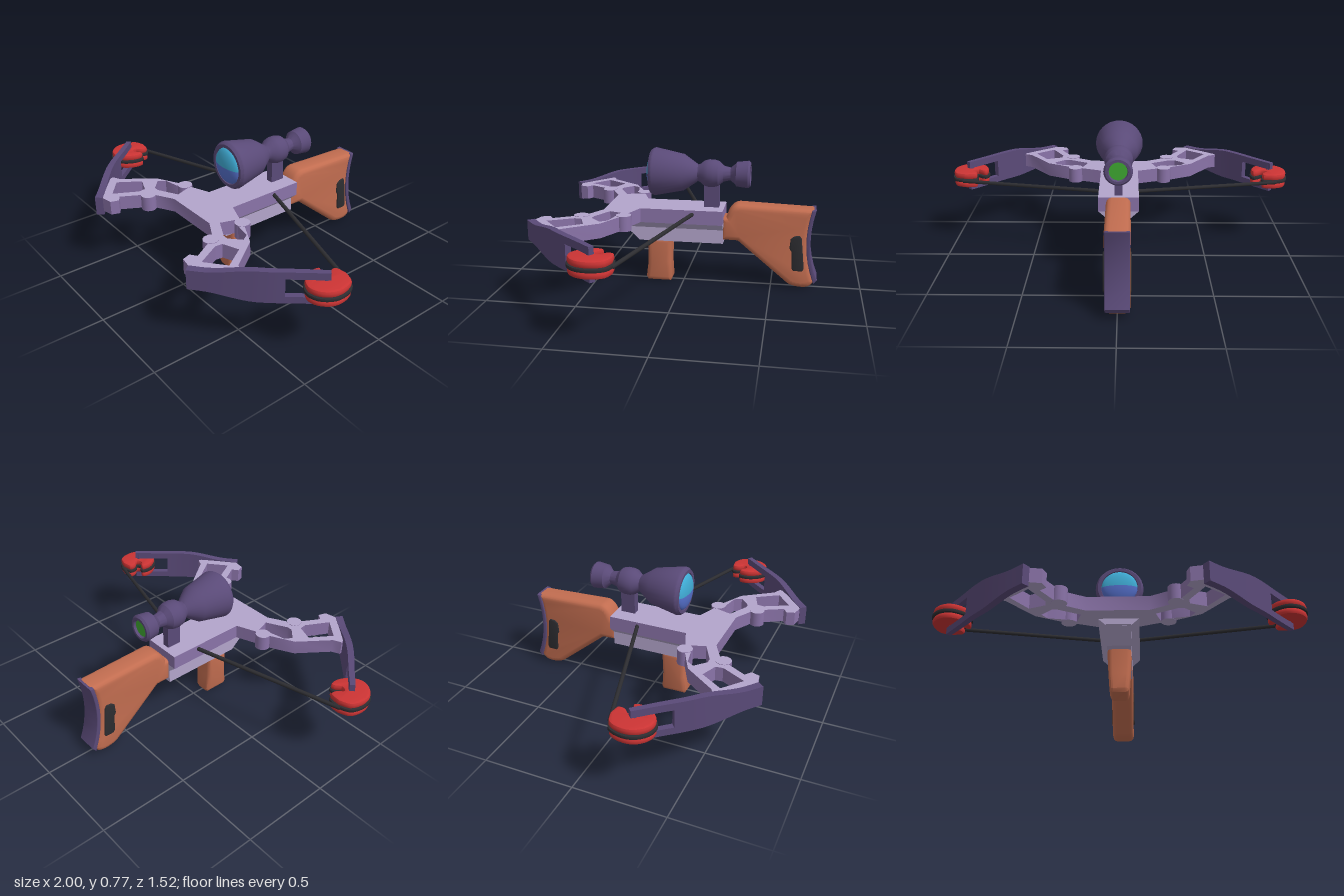
import * as THREE from 'three';
import { toCreasedNormals } from 'three/addons/utils/BufferGeometryUtils.js';

const mat = (name, color) => {
  const m = new THREE.MeshStandardMaterial({ color });
  m.name = name;
  return m;
};

export function createModel() {
  const lavender = mat('light lavender', 0xb3a5cb);
  const purple = mat('mid purple', 0x8a73a8);
  const plum = mat('dark plum', 0x5a4a78);
  const wood = mat('orange wood', 0xc26d50);
  const red = mat('cam red', 0xcc3434);
  const black = mat('black', 0x2d2d31);
  const cyan = mat('lens cyan', 0x3fabd4);
  const blue = mat('lens blue', 0x5570cc);
  const green = mat('eyepiece green', 0x3fa832);

  const model = new THREE.Group();
  model.name = 'crossbow';

  const add = (name, geo, material) => {
    const mesh = new THREE.Mesh(geo, material);
    mesh.name = name;
    model.add(mesh);
    return mesh;
  };

  // Reflects a geometry in x and restores its corner order
  const mirrored = (geo) => {
    const g = geo.index ? geo.toNonIndexed() : geo.clone();
    g.scale(-1, 1, 1);
    for (const a of Object.values(g.attributes)) {
      const n = a.itemSize;
      for (let i = 0; i < a.count; i += 3) {
        for (let k = 0; k < n; k++) {
          const p = (i + 1) * n + k, q = (i + 2) * n + k;
          [a.array[p], a.array[q]] = [a.array[q], a.array[p]];
        }
      }
    }
    return g;
  };
  const addPair = (name, geo, material) => {
    add('left' + name, geo, material);
    add('right' + name, mirrored(geo), material);
  };

  const shapeOf = (pts) => new THREE.Shape(pts.map(([a, b]) => new THREE.Vector2(a, b)));

  // Extrudes an (x, z) outline between two heights
  const slab = (shape, y0, y1, bevel = 0, offset = 0) => {
    const g = new THREE.ExtrudeGeometry(shape, {
      depth: y1 - y0 - 2 * bevel, bevelEnabled: bevel > 0, bevelThickness: bevel,
      bevelSize: bevel, bevelOffset: offset - bevel, bevelSegments: 2, curveSegments: 3,
    });
    g.rotateX(Math.PI / 2);
    g.translate(0, y1 - bevel, 0);
    return toCreasedNormals(g, 0.6);
  };

  // Extrudes a (z, y) outline across x with rounded edges
  const profile = (shape, width, bevel) => {
    const depth = width - 2 * bevel;
    const g = new THREE.ExtrudeGeometry(shape, {
      depth, bevelEnabled: bevel > 0, bevelThickness: bevel, bevelSize: bevel,
      bevelOffset: -bevel, bevelSegments: 3, curveSegments: 8,
    });
    g.translate(0, 0, -depth / 2);
    g.rotateY(-Math.PI / 2);
    return toCreasedNormals(g, 0.6);
  };

  // Rail and riser plate with window cut-outs
  const half = [
    [0.11, -0.23], [0.11, 0.23], [0.2, 0.265], [0.3, 0.3], [0.435, 0.37], [0.56, 0.54],
    [0.605, 0.56], [0.595, 0.6], [0.435, 0.73], [0.355, 0.715], [0.34, 0.67],
    [0.375, 0.645], [0.31, 0.53], [0.265, 0.48], [0.165, 0.425],
  ];
  const flip = (pts) => pts.map(([x, z]) => [-x, z]);
  const plate = shapeOf([...half, ...flip(half).reverse()]);
  const windows = [
    [[0.225, 0.29], [0.275, 0.325], [0.375, 0.345], [0.4, 0.385], [0.34, 0.44], [0.31, 0.44], [0.195, 0.38]],
    [[0.455, 0.455], [0.535, 0.575], [0.43, 0.66], [0.36, 0.53], [0.365, 0.49]],
  ];
  for (const w of windows) {
    plate.holes.push(shapeOf(w), shapeOf(flip(w)));
  }
  add('riserAndRail', slab(plate, 0.365, 0.445), [lavender, purple]);

  // Round bosses on the riser
  for (const [x, z] of [[0.265, 0.287], [0.295, 0.51]]) {
    const boss = new THREE.CylinderGeometry(0.042, 0.042, 0.084, 16);
    boss.translate(x, 0.405, z);
    addPair('RiserBoss', boss, [purple, lavender, lavender]);
  }

  // Chamfer under the rail and the lower block with a sloped nose
  const chamfer = new THREE.ExtrudeGeometry(
    shapeOf([[-0.11, 0.366], [-0.065, 0.325], [0.065, 0.325], [0.11, 0.366]]),
    { depth: 0.56, bevelEnabled: false });
  chamfer.translate(0, 0, -0.23);
  add('railChamfer', chamfer, lavender);
  add('lowerBlock', profile(shapeOf([[-0.23, 0.33], [-0.23, 0.247], [0.245, 0.247], [0.335, 0.33]]), 0.13, 0), lavender);

  // Grip, narrowing towards the bottom
  const grip = profile(shapeOf([
    [0.2, 0.26], [0.065, 0.26], [0.07, 0.12], [0.063, 0.02], [0.072, 0], [0.205, 0], [0.215, 0.02], [0.203, 0.11],
  ]), 0.13, 0.025);
  const gp = grip.attributes.position;
  for (let i = 0; i < gp.count; i++) {
    gp.setX(i, gp.getX(i) * (0.78 + 0.22 * Math.min(1, gp.getY(i) / 0.2)));
  }
  add('grip', toCreasedNormals(grip, 0.6), wood);

  // Shoulder stock
  const stock = new THREE.Shape();
  stock.moveTo(-0.22, 0.265);
  stock.lineTo(-0.22, 0.395);
  stock.lineTo(-0.245, 0.4);
  stock.quadraticCurveTo(-0.27, 0.475, -0.32, 0.475);
  stock.lineTo(-0.725, 0.46);
  stock.quadraticCurveTo(-0.665, 0.25, -0.74, 0.05);
  stock.quadraticCurveTo(-0.73, 0.01, -0.68, 0.008);
  stock.quadraticCurveTo(-0.62, 0.008, -0.59, 0.03);
  stock.lineTo(-0.31, 0.263);
  add('stock', profile(stock, 0.13, 0.03), wood);

  // Butt plate
  const butt = new THREE.Shape();
  butt.moveTo(-0.715, 0.458);
  butt.lineTo(-0.738, 0.46);
  butt.quadraticCurveTo(-0.68, 0.25, -0.758, 0.06);
  butt.lineTo(-0.74, 0.035);
  butt.lineTo(-0.73, 0.06);
  butt.quadraticCurveTo(-0.66, 0.25, -0.715, 0.458);
  add('buttPlate', profile(butt, 0.125, 0.005), plum);

  // Black side pads through the stock
  add('stockPad', profile(shapeOf([
    [-0.605, 0.295], [-0.625, 0.312], [-0.655, 0.315], [-0.665, 0.3], [-0.683, 0.125],
    [-0.675, 0.11], [-0.625, 0.11], [-0.615, 0.125], [-0.612, 0.22], [-0.6, 0.24],
  ]), 0.144, 0.006), black);

  // Limbs: boxes bent along a curve, ending in a fork
  const limbPath = new THREE.CatmullRomCurve3([
    [0.43, 0.745], [0.575, 0.625], [0.715, 0.495], [0.82, 0.375], [0.91, 0.275],
  ].map(([x, z]) => new THREE.Vector3(x, 0, z)));
  const limbPiece = (t0, t1, lo, hi) => {
    const g = new THREE.BoxGeometry(1, 1, 1, 14, 1, 1);
    const p = g.attributes.position;
    for (let i = 0; i < p.count; i++) {
      const t = t0 + (t1 - t0) * (p.getX(i) + 0.5);
      const c = limbPath.getPointAt(t), d = limbPath.getTangentAt(t);
      const w = p.getZ(i) * (0.042 - 0.014 * t);
      p.setXYZ(i, c.x - d.z * w, p.getY(i) < 0 ? lo(t) : hi(t), c.z + d.x * w);
    }
    return toCreasedNormals(g, 0.5);
  };
  const spread = (t) => 0.054 + 0.033 * THREE.MathUtils.smoothstep(t, 0.1, 0.5);
  const top = (t) => 0.395 + spread(t), bottom = (t) => 0.395 - spread(t);
  addPair('Limb', limbPiece(0, 0.69, bottom, top), plum);
  addPair('LimbUpperFork', limbPiece(0.69, 1, () => 0.443, top), plum);
  addPair('LimbLowerFork', limbPiece(0.69, 1, bottom, () => 0.345), plum);

  // Cams with a notch, a string groove between two red plates, and an axle
  const cam = new THREE.Shape();
  cam.moveTo(0.91, 0.175);
  cam.splineThru([
    [0.97, 0.2], [0.994, 0.265], [0.985, 0.33], [0.94, 0.38], [0.88, 0.393], [0.825, 0.36], [0.793, 0.3],
    [0.797, 0.25], [0.82, 0.25], [0.85, 0.272], [0.877, 0.255], [0.85, 0.225], [0.85, 0.185], [0.91, 0.175],
  ].map(([x, z]) => new THREE.Vector2(x, z)));
  addPair('CamUpper', slab(cam, 0.403, 0.439, 0.012), red);
  addPair('CamLower', slab(cam, 0.351, 0.387, 0.012), red);
  addPair('CamString', slab(cam, 0.386, 0.404, 0.003, 0.006), black);
  const axle = new THREE.CylinderGeometry(0.014, 0.014, 0.15, 12);
  axle.translate(0.895, 0.395, 0.29);
  addPair('Axle', axle, plum);

  // Bowstring, running into the rail from each cam
  const string = new THREE.TubeGeometry(new THREE.LineCurve3(
    new THREE.Vector3(0.925, 0.393, 0.178), new THREE.Vector3(0.09, 0.422, -0.066)), 1, 0.011, 8);
  addPair('String', string, black);

  // Scope body turned around the z axis
  const scopeY = 0.635;
  const scope = new THREE.LatheGeometry([
    [0, -0.355], [0.048, -0.355], [0.052, -0.372], [0.066, -0.372], [0.076, -0.36], [0.068, -0.295],
    [0.058, -0.288], [0.036, -0.262], [0.038, -0.25], [0.045, -0.222], [0.07, -0.195], [0.077, -0.17],
    [0.077, -0.14], [0.07, -0.115], [0.052, -0.093], [0.046, -0.08], [0.055, -0.068], [0.102, 0],
    [0.135, 0.16], [0.133, 0.17], [0.122, 0.185], [0.104, 0.185], [0.1, 0.172], [0, 0.172],
  ].map(([r, z]) => new THREE.Vector2(r, z)), 32);
  scope.rotateX(Math.PI / 2);
  scope.translate(0, scopeY, 0);
  add('scopeBody', toCreasedNormals(scope, 0.45), plum);

  // Two-tone front lens
  [['lensUpper', 0, cyan], ['lensLower', Math.PI / 2, blue]].forEach(([name, start, m]) => {
    const lens = new THREE.SphereGeometry(0.102, 24, 8, 0, Math.PI, start, Math.PI / 2);
    lens.scale(1, 1, 0.35);
    lens.translate(0, scopeY, 0.174);
    add(name, lens, m);
  });

  // Eyepiece glass and scope mount
  const eye = new THREE.CircleGeometry(0.048, 24);
  eye.rotateY(Math.PI);
  eye.translate(0, scopeY, -0.358);
  add('eyepieceGlass', eye, green);
  const mount = new THREE.BoxGeometry(0.042, 0.16, 0.084);
  mount.translate(0, 0.51, -0.158);
  add('scopeMount', mount, plum);

  return model;
}
